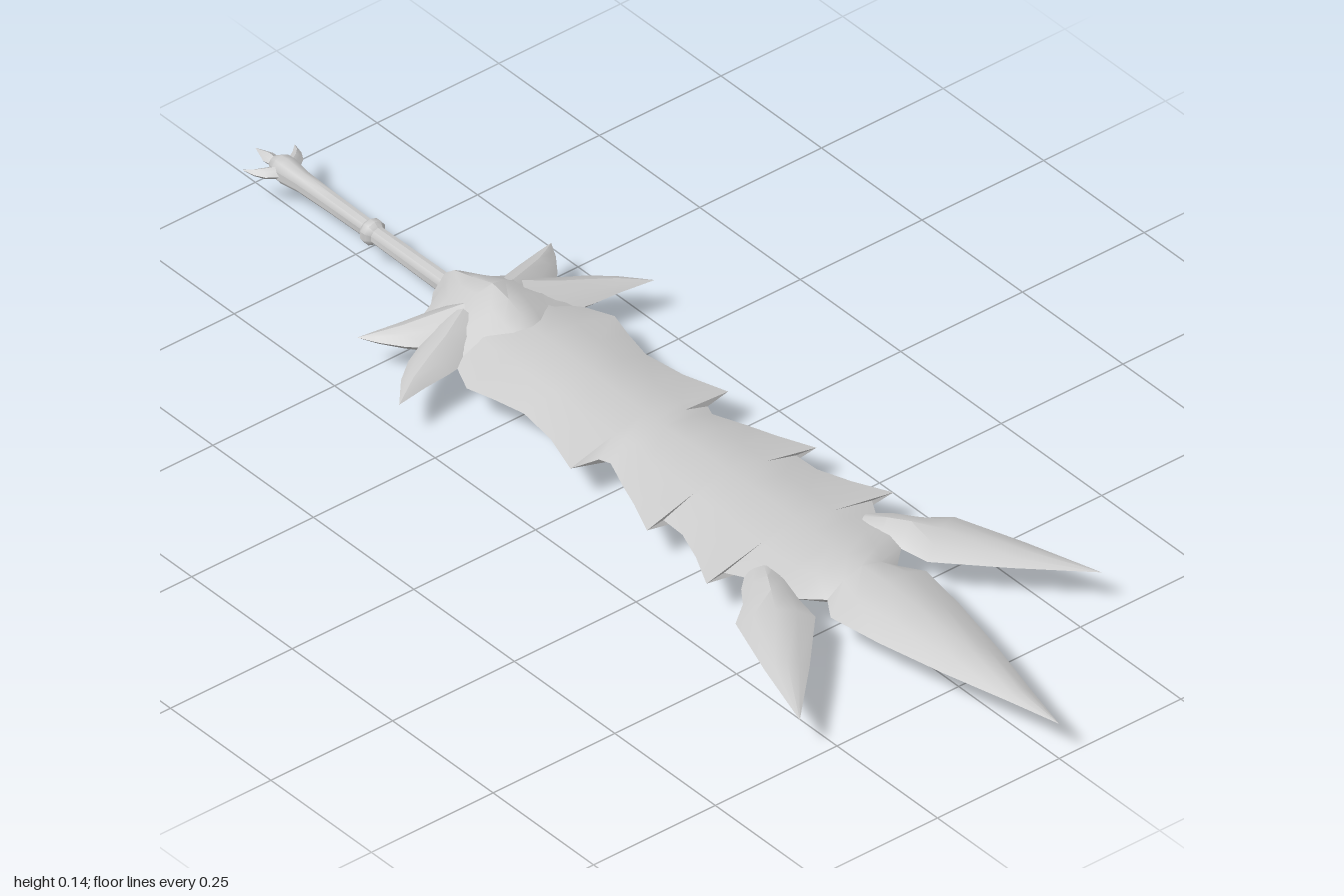
import * as THREE from 'three';
import { toCreasedNormals } from 'three/addons/utils/BufferGeometryUtils.js';

const MID_Y = 0.069;
const material = new THREE.MeshStandardMaterial({ color: 0xcccccc, side: THREE.DoubleSide });

// Cross-section profiles: [fraction of half width, fraction of height], ridge outwards
const BEVEL = [[0, 1], [0.55, 0.66], [1, 0]];
const HUMP = [[0, 1], [0.22, 0.85], [0.45, 0.55], [1, 0]];

// Two-sided ridged plate along z. Rows: { z, w, h, edge: z of the rim, cx: sideways shift }
function ridgedPlate(rows, profile = BEVEL, shoulder = Infinity) {
  const n = profile.length - 1;
  const ring = [];
  for (let k = -n; k <= n; k++) ring.push([Math.sign(k), Math.abs(k), 1]);
  for (let k = n - 1; k > -n; k--) ring.push([Math.sign(k), Math.abs(k), -1]);
  const pos = [], index = [], m = ring.length;
  rows.forEach(({ z, w, h, edge = z, cx = 0 }, i) => {
    for (const [side, k, up] of ring) {
      const [fx, fy] = profile[k];
      const half = k === n ? w : Math.min(w, shoulder);
      pos.push(cx + side * fx * half, up * fy * h, z + (edge - z) * fx);
    }
    if (i === 0) return;
    for (let j = 0; j < m; j++) {
      const a = (i - 1) * m + j, b = (i - 1) * m + (j + 1) % m;
      index.push(a, a + m, b, b, a + m, b + m);
    }
  });
  const geo = new THREE.BufferGeometry();
  geo.setAttribute('position', new THREE.Float32BufferAttribute(pos, 3));
  geo.setIndex(index);
  return toCreasedNormals(geo, 0.6);
}

export function createModel() {
  const group = new THREE.Group();
  const add = (name, geo, x = 0, z = 0, turn = 0) => {
    const mesh = new THREE.Mesh(geo, material);
    mesh.name = name;
    mesh.position.set(x, MID_Y, z);
    mesh.rotation.y = turn;
    group.add(mesh);
  };
  // Mirrored pair of pointed plates; bend shifts each row sideways
  const addPair = (name, x, z, turn, rows, profile) => {
    for (const s of [1, -1]) {
      const bent = rows.map(([rz, w, h, cx = 0]) => ({ z: rz, w, h, cx: cx * s }));
      add((s > 0 ? 'left' : 'right') + name, ridgedPlate(bent, profile), s * x, z, s * turn);
    }
  };

  // Jagged blade: [ridge z, half width, half height, rim z]
  const blade = [
    [-0.40, 0.10, 0.040, -0.40], [-0.34, 0.13, 0.038, -0.34], [-0.28, 0.152, 0.036, -0.29],
    [-0.22, 0.138, 0.036, -0.24], [-0.16, 0.125, 0.034, -0.18], [-0.09, 0.136, 0.032, -0.10],
    [-0.03, 0.162, 0.030, -0.02], [0.00, 0.112, 0.029, -0.01], [0.02, 0.104, 0.029, 0.01],
    [0.07, 0.128, 0.032, 0.07], [0.13, 0.146, 0.034, 0.12], [0.17, 0.174, 0.033, 0.185],
    [0.19, 0.136, 0.032, 0.18], [0.23, 0.138, 0.033, 0.23], [0.29, 0.16, 0.034, 0.29],
    [0.34, 0.192, 0.033, 0.355], [0.36, 0.152, 0.032, 0.35], [0.39, 0.135, 0.031, 0.38],
    [0.43, 0.148, 0.031, 0.43], [0.47, 0.11, 0.032, 0.475], [0.51, 0.072, 0.034, 0.51],
    [0.57, 0.098, 0.036, 0.55], [0.66, 0.083, 0.031, 0.65], [0.78, 0.055, 0.022, 0.78],
    [0.90, 0.024, 0.010, 0.90], [1.00, 0, 0, 1.00],
  ].map(([z, w, h, edge]) => ({ z, w, h, edge }));
  add('blade', ridgedPlate(blade, BEVEL, 0.13));

  // Side prongs flanking the blade tip
  addPair('Prong', 0.17, 0.50, 0.547, [
    [-0.13, 0.03, 0.014], [-0.09, 0.042, 0.022], [-0.05, 0.045, 0.024],
    [0, 0.064, 0.022], [0.13, 0.036, 0.014], [0.27, 0, 0],
  ]);

  // Raised guard body with a pointed front
  const guard = [
    [-0.53, 0, 0, -0.53], [-0.527, 0.03, 0.022, -0.522], [-0.505, 0.052, 0.040, -0.50],
    [-0.46, 0.10, 0.052, -0.475], [-0.41, 0.135, 0.068, -0.43], [-0.37, 0.15, 0.060, -0.39],
    [-0.34, 0.14, 0.048, -0.36], [-0.305, 0.12, 0.034, -0.345],
  ].map(([z, w, h, edge]) => ({ z, w, h, edge }));
  add('guard', ridgedPlate(guard, HUMP));

  // Guard horns: rear pair sweeps back, front pair sweeps forward
  addPair('RearHorn', 0.05, -0.42, 2.09, [
    [0, 0.05, 0.046], [0.05, 0.046, 0.034, -0.004], [0.10, 0.032, 0.020, -0.006],
    [0.14, 0.016, 0.010, -0.004], [0.172, 0, 0],
  ]);
  addPair('FrontHorn', 0.06, -0.41, 1.17, [
    [0, 0.05, 0.046], [0.06, 0.045, 0.032, 0], [0.11, 0.037, 0.022, 0.004],
    [0.16, 0.022, 0.012, 0.006], [0.22, 0, 0],
  ]);

  // Grip with a ring in the middle and a flared end
  const grip = [
    [0, 0.50], [0.017, 0.50], [0.016, 0.60], [0.015, 0.695], [0.022, 0.703], [0.022, 0.714],
    [0.015, 0.722], [0.016, 0.80], [0.018, 0.88], [0.023, 0.92], [0.022, 0.935], [0.012, 0.952], [0, 0.955],
  ].map(([r, y]) => new THREE.Vector2(r, y));
  add('grip', toCreasedNormals(new THREE.LatheGeometry(grip, 10).rotateX(-Math.PI / 2), 0.7));

  // Pommel: centre point and two curled claws
  add('pommelPoint', ridgedPlate([[-1, 0, 0], [-0.965, 0.013, 0.010], [-0.94, 0.008, 0.008]]
    .map(([z, w, h]) => ({ z, w, h }))));
  addPair('PommelClaw', 0.012, -0.925, 2.3, [
    [0, 0.014, 0.012], [0.022, 0.012, 0.010, -0.004], [0.04, 0.007, 0.006, -0.003], [0.06, 0, 0, 0.004],
  ]);

  return group;
}
